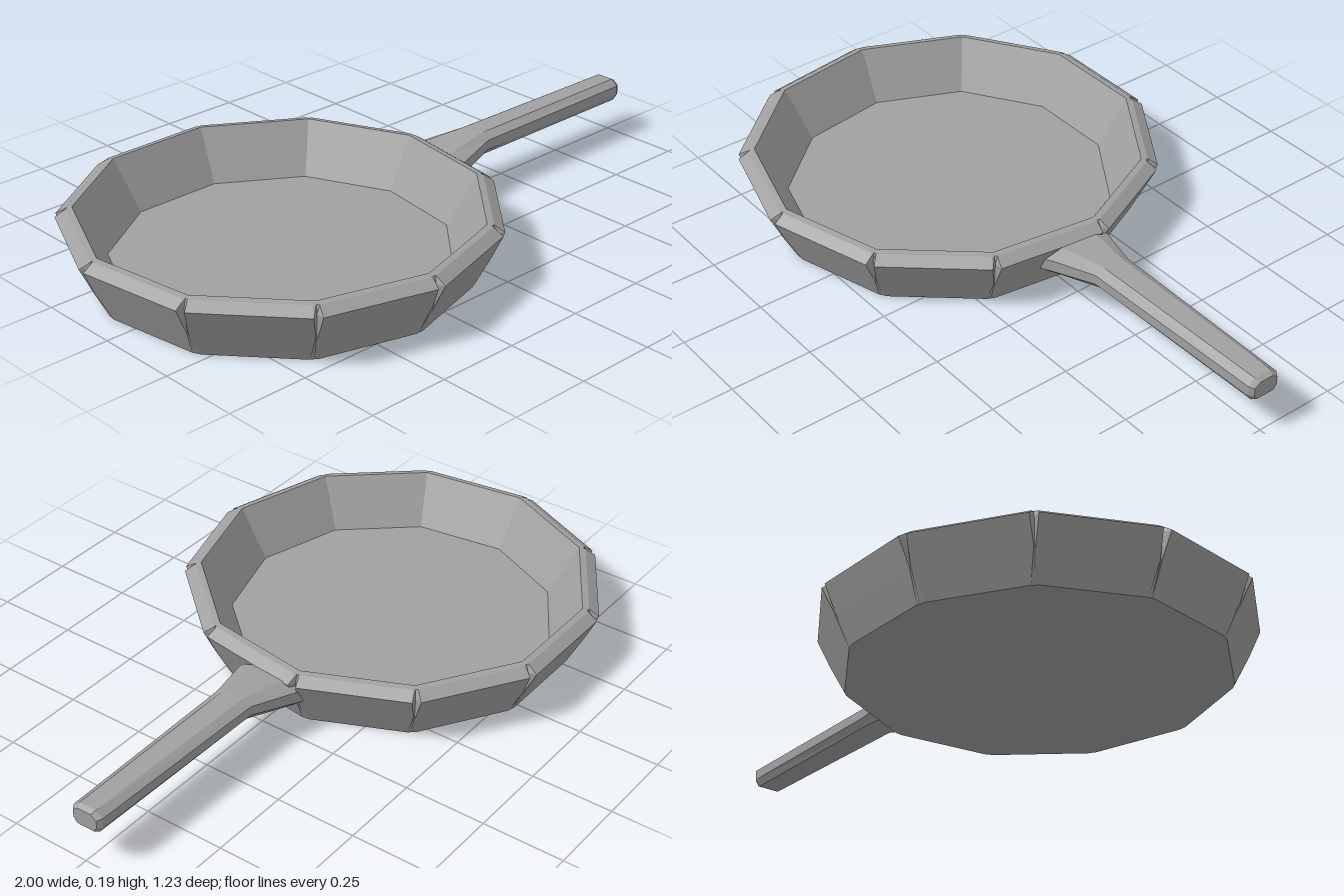
import * as THREE from 'three';

const SIDES = 11;
const CENTRE = new THREE.Vector3(-0.375, 0, -0.013);

// Flat-shaded surface through a list of closed rings with equal point counts
function loft(rings) {
  const out = [];
  const tri = (a, b, c) => {
    const area = b.clone().sub(a).cross(c.clone().sub(a)).length();
    if (area > 1e-8) for (const p of [a, b, c]) out.push(p.x, p.y, p.z);
  };
  for (let i = 0; i < rings.length - 1; i++) {
    const lo = rings[i], hi = rings[i + 1], n = lo.length;
    for (let j = 0; j < n; j++) {
      const k = (j + 1) % n;
      tri(lo[j], lo[k], hi[k]);
      tri(lo[j], hi[k], hi[j]);
    }
  }
  const geo = new THREE.BufferGeometry();
  geo.setAttribute('position', new THREE.Float32BufferAttribute(out, 3));
  geo.computeVertexNormals();
  return geo;
}

// Polygon ring whose corners are cut back by d along the sides and n inwards
function panRing([r, y, d = 0, n = 0]) {
  const corner = (i, rad = r) => {
    const a = (i / SIDES) * Math.PI * 2;
    return new THREE.Vector3(Math.sin(a) * rad, y, Math.cos(a) * rad).add(CENTRE);
  };
  const ring = [];
  for (let i = 0; i < SIDES; i++) {
    const v = corner(i);
    const toward = (other) => v.clone().add(other.sub(v).setLength(d));
    ring.push(toward(corner(i - 1)), corner(i, r - n), toward(corner(i + 1)));
  }
  return ring;
}

// Handle cross-section: chamfered box, leaning by `lean` from bottom to top
function handleRing([x, z, w, y0, y1, lean = 0]) {
  const h = y1 - y0;
  const profile = [[-0.55, 1], [0.55, 1], [1, 0.75], [1, 0.3], [0.72, 0], [-0.72, 0], [-1, 0.3], [-1, 0.75]];
  return profile.map(([u, v]) => new THREE.Vector3(x + lean * v, y0 + v * h, z + u * w));
}

export function createModel() {
  const metal = new THREE.MeshStandardMaterial({ color: 0xa0a0a0 });
  metal.name = 'grey metal';
  metal.flatShading = true;
  const model = new THREE.Group();
  model.name = 'fryingPan';

  const add = (name, geo) => {
    const mesh = new THREE.Mesh(geo, metal);
    mesh.name = name;
    model.add(mesh);
  };

  // Base and outer wall, with grooved corners that open into rim notches
  add('outerWall', loft([
    [0, 0],
    [0.55, 0, 0.012, 0.004],
    [0.595, 0.09, 0.003, 0.003],
    [0.632, 0.165, 0.013, 0.028],
  ].map(panRing)));

  // Sloped rim
  add('rim', loft([
    [0.632, 0.165, 0.013, 0.028],
    [0.6, 0.187, 0.008, 0.006],
    [0.58, 0.19],
  ].map(panRing)));

  // Inner wall and cooking surface
  add('inside', loft([[0.58, 0.19], [0.49, 0.04], [0, 0.04]].map(panRing)));

  // Handle: wide foot on the wall, narrowing to a straight grip
  add('handle', loft([
    [0.19, -0.012, 0, 0.11, 0.11],
    [0.18, -0.012, 0.108, 0.066, 0.165, 0.05],
    [0.24, -0.012, 0.1, 0.084, 0.168, 0.01],
    [0.385, -0.008, 0.06, 0.114, 0.18],
    [0.985, -0.008, 0.05, 0.112, 0.18],
    [1.0, -0.008, 0.04, 0.12, 0.172],
    [1.0, -0.008, 0, 0.146, 0.146],
  ].map(handleRing)));

  return model;
}
